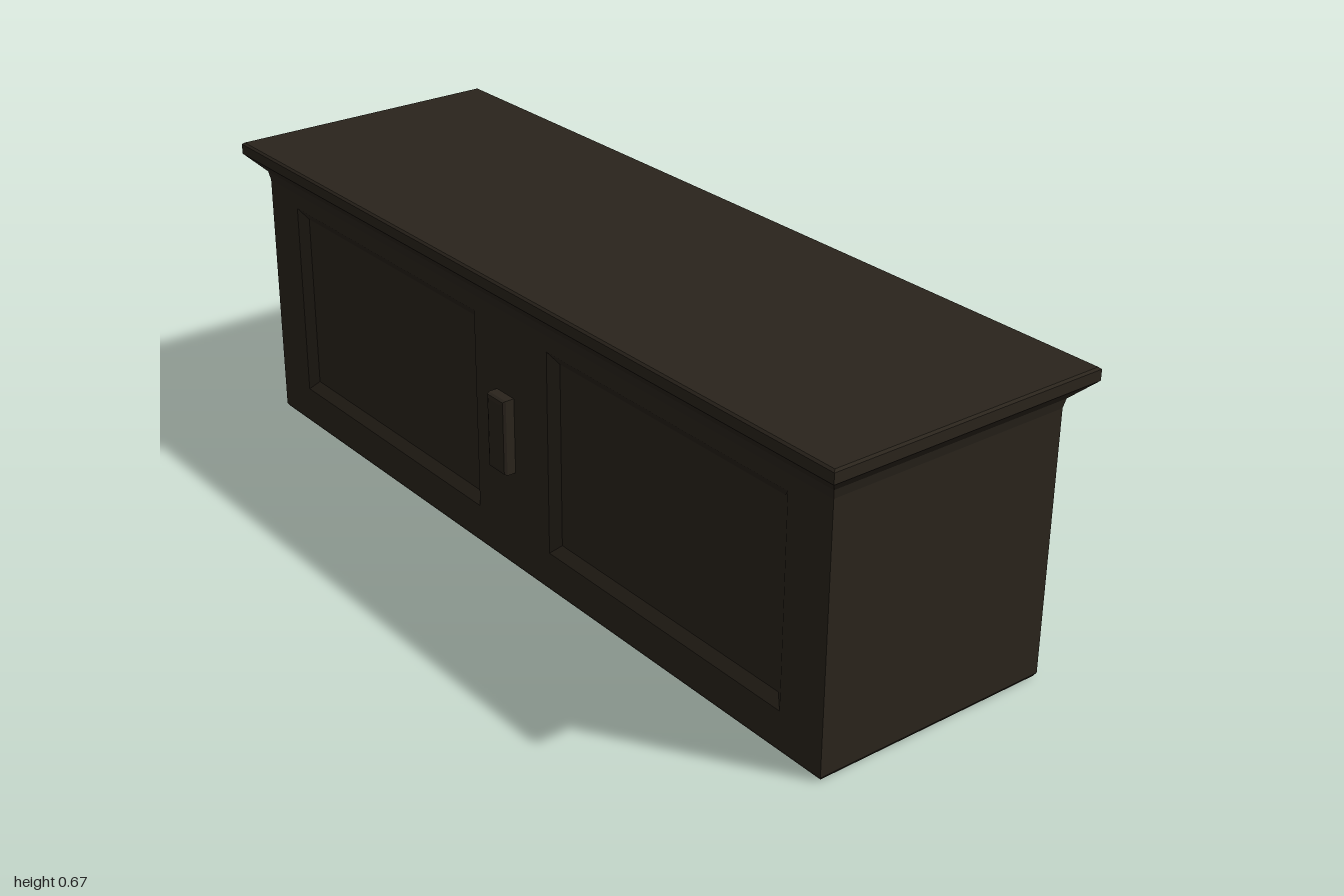
import * as THREE from 'three';

const material = new THREE.MeshStandardMaterial({ color: 0x2a241c, flatShading: true });

// Joins four-cornered rings with quads; skip(step, side) leaves a side open.
function loft(rings, { capStart = false, capEnd = true, skip = () => false } = {}) {
  const pos = [];
  const quad = (a, b, c, d) => [a, b, c, a, c, d].forEach((p) => pos.push(...p));
  for (let s = 0; s < rings.length - 1; s++) {
    const a = rings[s], b = rings[s + 1];
    for (let i = 0; i < 4; i++) {
      const j = (i + 1) % 4;
      if (!skip(s, i)) quad(a[i], a[j], b[j], b[i]);
    }
  }
  if (capStart) quad(...[...rings[0]].reverse());
  if (capEnd) quad(...rings[rings.length - 1]);
  const geo = new THREE.BufferGeometry();
  geo.setAttribute('position', new THREE.Float32BufferAttribute(pos, 3));
  geo.computeVertexNormals();
  return geo;
}

// Horizontal ring around the cabinet
const level = (y, hx, hz) => [[-hx, y, hz], [hx, y, hz], [hx, y, -hz], [-hx, y, -hz]];

// Upright ring on the door side, shrunk by inset
const upright = (x, [z0, z1, y0, y1], inset) => [
  [x, y0 + inset, z0 + inset], [x, y0 + inset, z1 - inset],
  [x, y1 - inset, z1 - inset], [x, y1 - inset, z0 + inset],
];

export function createModel() {
  const group = new THREE.Group();
  const add = (name, geo) => {
    const mesh = new THREE.Mesh(geo, material);
    mesh.name = name;
    group.add(mesh);
  };

  const HX = 0.281, HZ = 0.955, Y0 = 0.008, Y1 = 0.58;

  // Carcass with softened bottom edge; the door side is left open
  add('cabinetBody', loft(
    [level(0, HX - 0.005, HZ - 0.005), level(Y0, HX, HZ), level(Y1, HX, HZ)],
    { capStart: true, capEnd: false, skip: (step, side) => step === 1 && side === 3 },
  ));

  // Flared moulding and flat top
  add('countertop', loft([
    level(Y1, HX, HZ), level(0.6, 0.285, 0.959), level(0.64, 0.325, 1),
    level(0.663, 0.325, 1), level(0.667, 0.32, 0.995),
  ]));

  // Door frame with two openings
  const panels = [[-0.84, -0.126, 0.09, 0.545], [0.126, 0.84, 0.09, 0.545]];
  const rect = (Type, [z0, z1, y0, y1]) => new Type(
    [[z0, y0], [z1, y0], [z1, y1], [z0, y1]].map((p) => new THREE.Vector2(...p)));
  const frame = rect(THREE.Shape, [-HZ, HZ, Y0, Y1]);
  frame.holes = panels.map((p) => rect(THREE.Path, p));
  add('doorFrame', new THREE.ShapeGeometry(frame).rotateY(-Math.PI / 2).translate(-HX, 0, 0));

  // Recessed panels with bevelled borders
  panels.forEach((p, i) => add(`doorPanel${i + 1}`,
    loft([upright(-HX, p, 0), upright(-HX + 0.016, p, 0.023)])));

  // Chamfered pull between the panels
  const pull = [-0.05, 0.01, 0.227, 0.397];
  add('doorHandle', loft([
    upright(-HX, pull, 0), upright(-0.301, pull, 0),
    upright(-0.307, pull, 0.003), upright(-0.31, pull, 0.01),
  ]));

  return group;
}
